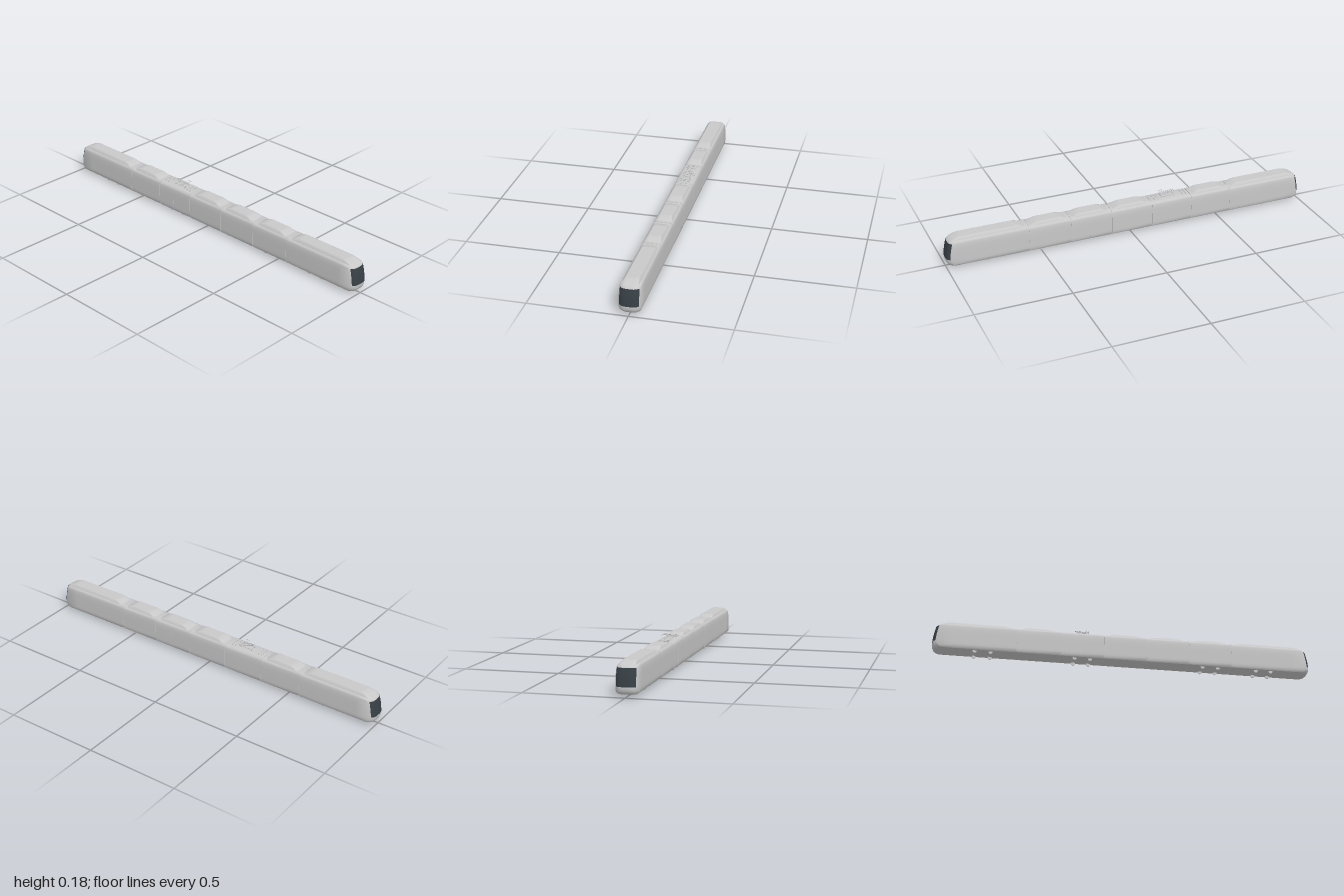
import * as THREE from 'three';
import { mergeVertices, toCreasedNormals } from 'three/addons/utils/BufferGeometryUtils.js';

const mat = (name, color, side = THREE.FrontSide) => {
  const m = new THREE.MeshStandardMaterial({ color, side });
  m.name = name;
  return m;
};

// Half cross-section of the body, from floor edge to roof edge: [x, y]
const HALF = [
  [0.047, 0.0138], [0.052, 0.021], [0.053, 0.035], [0.053, 0.05], [0.053, 0.08], [0.053, 0.105],
  [0.0525, 0.122], [0.051, 0.137], [0.049, 0.144], [0.045, 0.149], [0.037, 0.152],
];
const SECTION = [...HALF, ...HALF.map(([x, y]) => [-x, y]).reverse(), HALF[0]];
const NOSE = [0, 0.2, 0.45, 0.65, 0.8, 0.9, 0.96, 1];
const TIP = 0.9985;

// How far the nose leans back at height y
function rake(y) {
  const lean = 0.016 * Math.pow(Math.max(0, (y - 0.05) / 0.09), 1.5);
  const brow = 0.02 * Math.pow(Math.max(0, (y - 0.137) / 0.015), 2);
  const chin = 0.012 * Math.pow(Math.max(0, (0.035 - y) / 0.02), 2);
  return lean + brow + chin;
}
const noseZ = (f, y) => TIP - 0.025 * f ** 4 - rake(y);

// Surface through a grid of points given by fn(row, column)
function grid(rows, cols, fn) {
  const pos = [], idx = [];
  for (let i = 0; i < rows; i++) for (let j = 0; j < cols; j++) pos.push(...fn(i, j));
  for (let i = 0; i < rows - 1; i++) for (let j = 0; j < cols - 1; j++) {
    const a = i * cols + j, b = a + 1, c = a + cols, d = c + 1;
    idx.push(a, b, c, b, d, c);
  }
  const g = new THREE.BufferGeometry();
  g.setAttribute('position', new THREE.Float32BufferAttribute(pos, 3));
  g.setIndex(idx);
  const merged = mergeVertices(g, 1e-6);
  merged.computeVertexNormals();
  return merged;
}

// Body shell: each station is [width factor, z as a function of y]
function shell(stations) {
  const g = grid(stations.length, SECTION.length, (i, j) => {
    const [x, y] = SECTION[j], [f, z] = stations[i];
    return [x * f, y, z(y)];
  });
  return toCreasedNormals(g, 0.6);
}
const flat = (z) => () => z;
const straight = (z0, z1) => shell([[0, flat(z0)], [1, flat(z0)], [1, flat(z1)], [0, flat(z1)]]);

// Softly raised roof fairing with a rounded plan
function fairing(z0, z1) {
  const levels = [[0, 0.149], [0.12, 0.1525], [0.4, 0.1575], [0.75, 0.163], [1, 0.165], [1.15, 0.1653]];
  const plan = [];
  for (let q = 0; q < 4; q++) for (let k = 0; k <= 5; k++) {
    const a = (q + k / 5) * Math.PI / 2;
    plan.push([Math.cos(a), Math.sin(a), q === 0 || q === 3 ? 1 : -1, q < 2 ? 1 : -1]);
  }
  plan.push(plan[0]);
  const mid = (z0 + z1) / 2, half = (z1 - z0) / 2, r = 0.018;
  return grid(levels.length + 1, plan.length, (i, j) => {
    if (i === levels.length) return [0, 0.1653, mid];
    const [k, y] = levels[i], [c, s, sx, sz] = plan[plan.length - 1 - j];
    const w = 0.042 - 0.011 * k - r, l = half - 0.045 * k - r;
    return [sx * w + c * r, y, mid + sz * l + s * r];
  });
}

function rod(a, b, radius) {
  const p = new THREE.Vector3(...a), d = new THREE.Vector3(...b).sub(p);
  const g = new THREE.CylinderGeometry(radius, radius, d.length(), 6);
  g.applyQuaternion(new THREE.Quaternion().setFromUnitVectors(new THREE.Vector3(0, 1, 0), d.clone().normalize()));
  return g.translate(p.x + d.x / 2, p.y + d.y / 2, p.z + d.z / 2);
}

export function createModel() {
  const model = new THREE.Group();
  model.name = 'tram';
  const body = mat('body grey', 0xc8c8c8);
  const glass = mat('dark glass', 0x384046, THREE.DoubleSide);
  const add = (name, geometry, material, parent = model) => {
    const m = new THREE.Mesh(geometry, material);
    m.name = name;
    parent.add(m);
    return m;
  };

  // Cab cars: one at each end, the rear one turned around
  const joints = [-0.568, -0.341, -0.114, 0.114, 0.341, 0.568];
  const gap = 0.002;
  const cabStart = joints[5] + gap;
  const cabShell = shell([
    [0, flat(cabStart)], [1, flat(cabStart)], [1, flat(0.9)],
    ...[...NOSE].reverse().map((f) => [f, (y) => noseZ(f, y)]),
  ]);
  const paneF = [...NOSE.slice(1, 6).map((f) => -f).reverse(), ...NOSE.slice(0, 6)];
  const paneRows = HALF.slice(3, 8);
  const windscreen = grid(paneRows.length, paneF.length, (i, j) => {
    const [x, y] = paneRows[i];
    return [paneF[j] * x, y, noseZ(paneF[j], y) + 0.0015];
  });
  const cabFairing = fairing(0.58, 0.968);
  for (const end of ['front', 'rear']) {
    const cab = new THREE.Group();
    cab.name = end + 'Cab';
    if (end === 'rear') cab.rotation.y = Math.PI;
    add('cabBody', cabShell, body, cab);
    add('windscreen', windscreen, glass, cab);
    add('cabRoofFairing', cabFairing, body, cab);
    model.add(cab);
  }

  // Middle cars; the one carrying the pantograph has a flat roof
  for (let i = 0; i < 5; i++) {
    const z0 = joints[i], z1 = joints[i + 1];
    add('middleCar', straight(z0 + gap, z1 - gap), body);
    if (i !== 1) add('roofFairing', fairing(z0 + 0.012, z1 - 0.012), body);
  }

  // Bellows between the cars
  for (const z of joints) {
    const g = straight(z - 0.006, z + 0.006);
    g.translate(0, -0.083, 0).scale(0.97, 0.98, 1).translate(0, 0.083, 0);
    add('bellows', g, body);
  }

  // Thin door seam on each side
  for (const s of [1, -1]) {
    const g = new THREE.BoxGeometry(0.001, 0.088, 0.0025);
    add('doorSeam', g.translate(s * 0.053, 0.068, s * 0.235), body);
  }

  // Wheels
  const wheel = new THREE.CylinderGeometry(0.0105, 0.0105, 0.005, 16).rotateZ(Math.PI / 2);
  for (const z of [0.785, 0.705, 0.498, 0.416, -0.184, -0.264, -0.7, -0.782]) for (const x of [-0.034, 0.034]) {
    add('wheel', wheel, body).position.set(x, 0.0105, z);
  }

  // Roof equipment and pantograph
  const panto = new THREE.Group();
  panto.name = 'pantograph';
  model.add(panto);
  for (const z of [-0.14, -0.16, -0.302, -0.322]) {
    add('roofRail', rod([-0.027, 0.157, z], [0.027, 0.157, z], 0.0016), body, panto);
    for (const x of [-0.022, 0.022]) add('railFoot', rod([x, 0.15, z], [x, 0.157, z], 0.002), body, panto);
  }
  for (const z of [-0.185, -0.255]) add('baseBeam', rod([-0.018, 0.16, z], [0.018, 0.16, z], 0.0016), body, panto);
  const horn = new THREE.CatmullRomCurve3([
    [-0.044, 0.166, 0], [-0.036, 0.172, 0], [0, 0.1725, 0], [0.036, 0.172, 0], [0.044, 0.166, 0],
  ].map((p) => new THREE.Vector3(...p)));
  for (const z of [-0.19, -0.205]) {
    add('contactBar', new THREE.TubeGeometry(horn, 20, 0.0011, 6).translate(0, 0, z), body, panto);
  }
  for (const s of [-1, 1]) {
    add('baseSide', rod([s * 0.018, 0.16, -0.185], [s * 0.018, 0.16, -0.255], 0.0016), body, panto);
    for (const z of [-0.185, -0.255]) add('baseFoot', rod([s * 0.016, 0.15, z], [s * 0.016, 0.16, z], 0.002), body, panto);
    add('lowerArm', rod([s * 0.017, 0.161, -0.185], [s * 0.003, 0.1815, -0.258], 0.0013), body, panto);
    add('upperArm', rod([s * 0.003, 0.1815, -0.258], [s * 0.012, 0.172, -0.18], 0.0011), body, panto);
  }
  add('kneeBar', rod([-0.005, 0.1815, -0.258], [0.005, 0.1815, -0.258], 0.0014), body, panto);
  return model;
}
